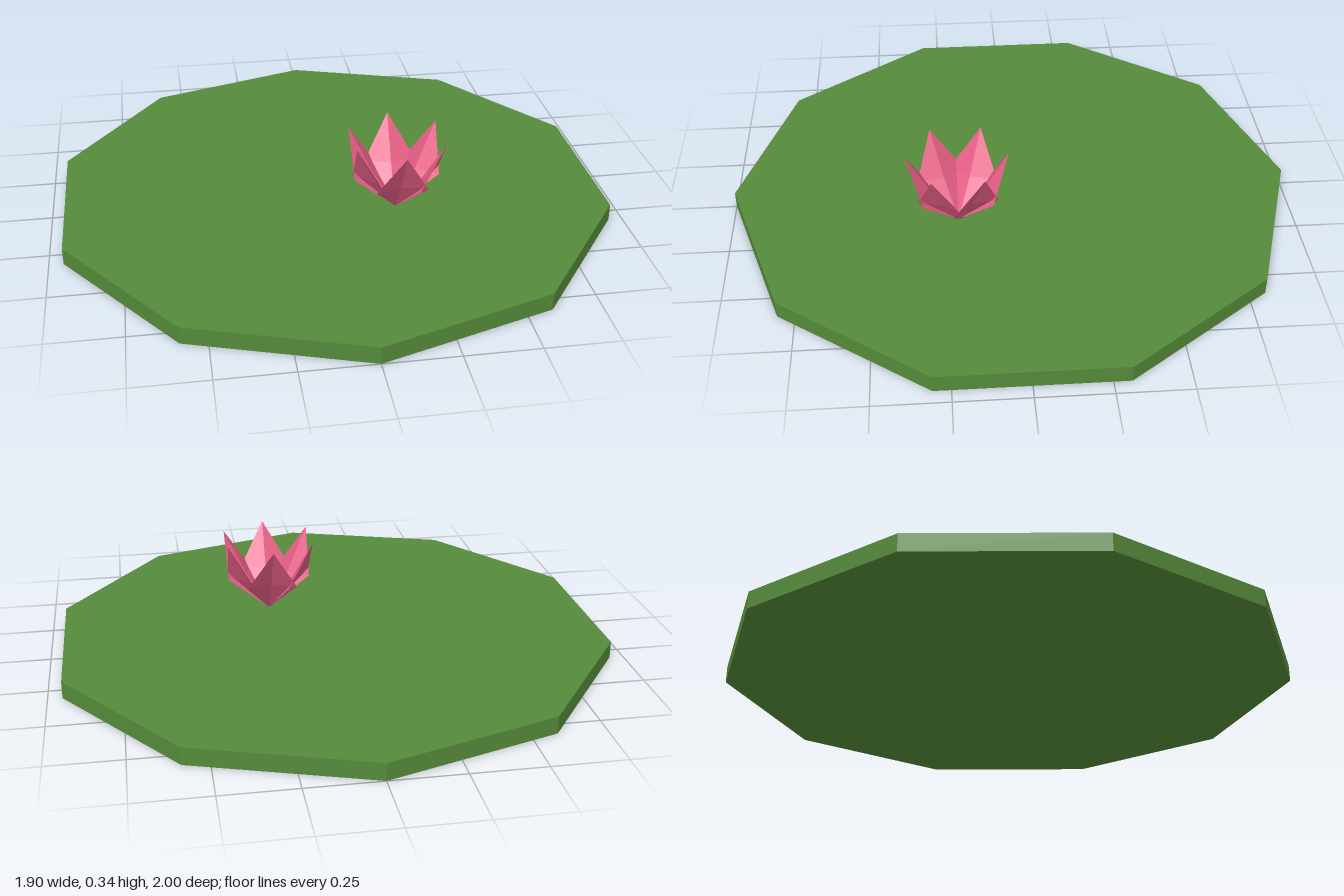
import * as THREE from 'three';

const green = new THREE.MeshStandardMaterial({ color: 0x558b3a, flatShading: true });
const pink = new THREE.MeshStandardMaterial({ color: 0xe75f86, flatShading: true, side: THREE.DoubleSide });

// Folded, pointed petal leaning towards +z, with a crease from base to tip
function petalGeometry() {
  const base = [0, 0, 0];
  const left = [0.09, 0.125, 0.12];
  const right = [-0.09, 0.125, 0.12];
  const crease = [0, 0.125, 0.09];
  const tip = [0, 0.28, 0.178];
  const faces = [
    [base, crease, left], [base, right, crease],
    [crease, tip, left], [crease, right, tip],
  ];
  const geometry = new THREE.BufferGeometry();
  geometry.setAttribute('position', new THREE.Float32BufferAttribute(faces.flat(2), 3));
  geometry.computeVertexNormals();
  return geometry;
}

export function createModel() {
  const model = new THREE.Group();
  model.name = 'waterLily';

  // Ten-sided floating leaf
  const pad = new THREE.Mesh(new THREE.CylinderGeometry(1, 1, 0.06, 10), green);
  pad.name = 'lilyPad';
  pad.position.y = 0.03;
  model.add(pad);

  // Ring of six petals, off-centre on the leaf
  const flower = new THREE.Group();
  flower.name = 'flower';
  flower.position.set(0.2, 0.06, 0.2);
  const geometry = petalGeometry();
  for (let i = 0; i < 6; i++) {
    const petal = new THREE.Mesh(geometry, pink);
    petal.name = `petal${i + 1}`;
    petal.rotation.y = (i * Math.PI) / 3;
    flower.add(petal);
  }
  model.add(flower);

  return model;
}
